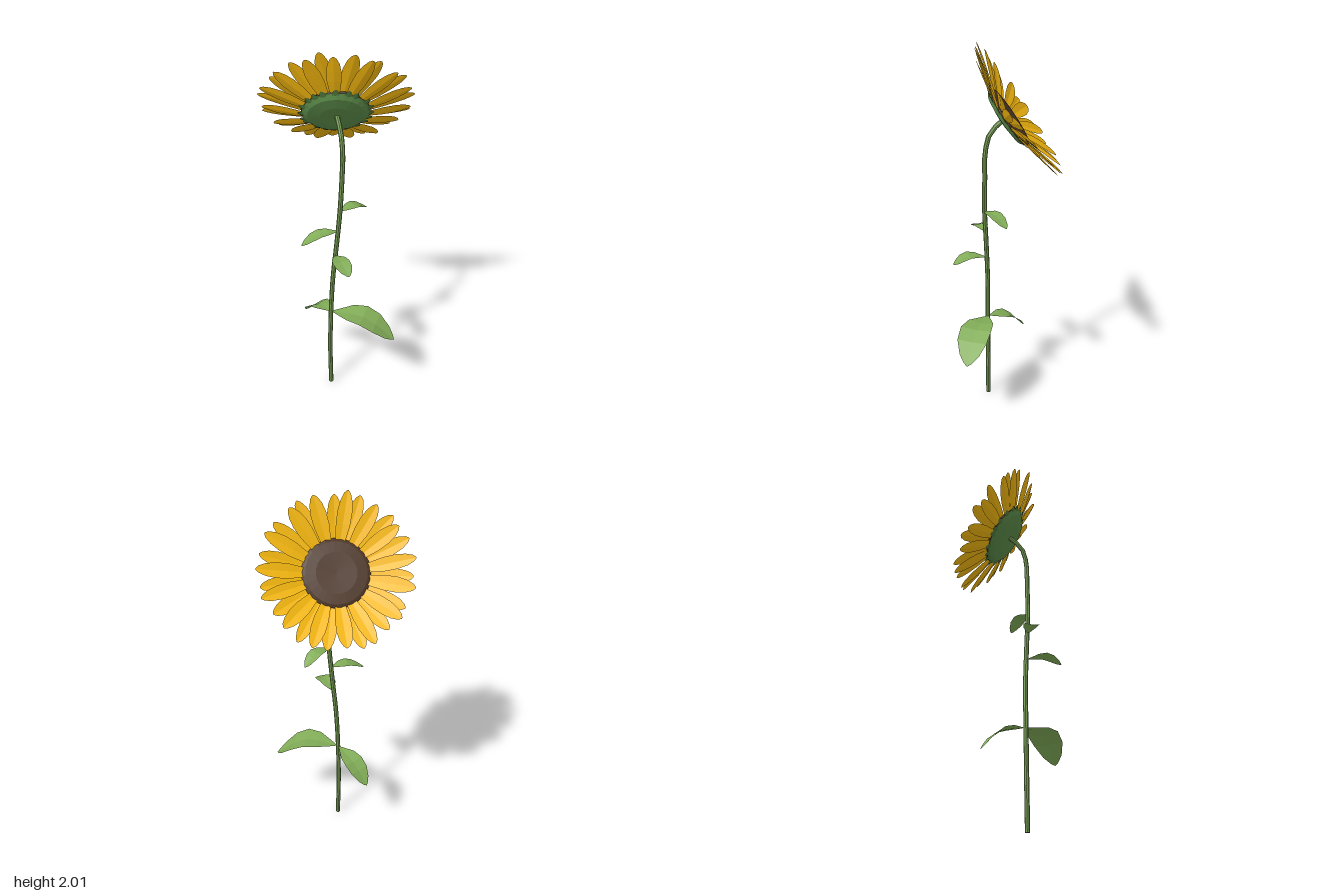
import * as THREE from 'three';

const mat = (color, side = THREE.FrontSide) =>
  new THREE.MeshStandardMaterial({ color, side, flatShading: true });
const V = (x, y, z) => new THREE.Vector3(x, y, z);

// Thin blade: a curved midrib with a folded half on each side.
// outline = [t along the midrib, share of the half width]
function bladeGeometry(points, side, halfWidth, outline, fold) {
  const curve = new THREE.CatmullRomCurve3(points);
  const pos = [], index = [];
  outline.forEach(([t, w], i) => {
    const p = curve.getPoint(t);
    const up = side.clone().cross(curve.getTangent(t)).normalize();
    for (const s of [-1, 0, 1]) {
      const q = p.clone().addScaledVector(side, s * w * halfWidth);
      q.addScaledVector(up, Math.abs(s) * w * halfWidth * fold);
      pos.push(q.x, q.y, q.z);
    }
    if (i === 0) return;
    for (const c of [0, 1]) {
      const a = (i - 1) * 3 + c, b = a + 3;
      index.push(a, a + 1, b + 1, a, b + 1, b);
    }
  });
  const g = new THREE.BufferGeometry();
  g.setAttribute('position', new THREE.Float32BufferAttribute(pos, 3));
  g.setIndex(index);
  g.computeVertexNormals();
  return g;
}

const LEAF = [[0, 0.06], [0.12, 0.4], [0.28, 0.82], [0.48, 1], [0.68, 0.95], [0.86, 0.62], [0.96, 0.25], [1, 0]];
const PETAL = [[0, 0.5], [0.2, 0.75], [0.42, 0.97], [0.65, 1], [0.83, 0.8], [0.95, 0.45], [1, 0.1]];

// Small seeded generator for the irregular petals
function seeded(seed) {
  return () => (seed = (seed * 16807) % 2147483647) / 2147483647;
}

export function createModel() {
  const root = new THREE.Group();
  root.name = 'flower';
  const add = (parent, name, geometry, material) => {
    const m = new THREE.Mesh(geometry, material);
    m.name = name;
    parent.add(m);
    return m;
  };
  const stemMat = mat(0x769c52);
  const leafMat = mat(0x82ad58, THREE.DoubleSide);
  const petalMat = mat(0xf6b90f, THREE.DoubleSide);
  const sepalMat = mat(0x4f7a3c, THREE.DoubleSide);

  // Stem, bending over into the back of the flower head
  const stemPath = new THREE.CatmullRomCurve3([
    V(-0.03, 0, 0.097), V(-0.034, 0.25, 0.096), V(-0.03, 0.5, 0.095), V(-0.018, 0.75, 0.094),
    V(0.002, 0.97, 0.1), V(0.018, 1.17, 0.107), V(0.027, 1.35, 0.104), V(0.03, 1.49, 0.1),
    V(0.022, 1.58, 0.075), V(0.004, 1.645, 0.008),
  ]);
  add(root, 'stem', new THREE.TubeGeometry(stemPath, 30, 0.0125, 8), stemMat);
  const base = add(root, 'stemBase', new THREE.CircleGeometry(0.0125, 8).rotateX(Math.PI / 2), stemMat);
  base.position.set(-0.03, 0.0005, 0.097);

  // Leaves: base, middle and tip of the midrib, half width
  const leaves = [
    ['lowerLeftLeaf', [-0.02, 0.515, 0.095], [0.15, 0.525, 0.165], [0.31, 0.41, 0.215], 0.085],
    ['lowerRightLeaf', [-0.035, 0.51, 0.085], [-0.1, 0.475, -0.025], [-0.16, 0.37, -0.11], 0.06],
    ['middleFrontLeaf', [-0.005, 0.89, 0.1], [0.022, 0.91, 0.195], [0.06, 0.878, 0.275], 0.045],
    ['middleRightLeaf', [0.008, 1.045, 0.105], [-0.09, 1.045, 0.133], [-0.18, 0.995, 0.16], 0.04],
    ['upperLeftLeaf', [0.02, 1.165, 0.107], [0.095, 1.172, 0.055], [0.16, 1.125, 0], 0.038],
  ];
  for (const [name, a, b, c, halfWidth] of leaves) {
    const pts = [V(...a), V(...b), V(...c)];
    const along = pts[2].clone().sub(pts[0]).setY(0).normalize();
    const side = V(-along.z, 0, along.x);
    add(root, name, bladeGeometry(pts, side, halfWidth, LEAF, 0.12), leafMat);
  }

  // Flower head: local +z is the way the bloom faces, up and to the back
  const head = new THREE.Group();
  head.name = 'flowerHead';
  head.position.set(0, 1.65, -0.01);
  head.rotation.x = -2.535;
  root.add(head);

  const lathe = (pts) =>
    new THREE.LatheGeometry(pts.map(([r, y]) => new THREE.Vector2(r, y)), 24).rotateX(Math.PI / 2);
  add(head, 'receptacle', lathe([[0, -0.026], [0.08, -0.026], [0.14, -0.016], [0.166, 0.004]]), mat(0x5b8b49));
  add(head, 'seedDisc', lathe([[0.166, 0.004], [0.168, 0.014], [0.15, 0.024], [0.1, 0.028], [0, 0.024]]), mat(0x4f3829));

  // Cupped petals in two alternating layers
  const rand = seeded(41);
  const ring = (name, count, material, make) => {
    const group = new THREE.Group();
    group.name = name;
    head.add(group);
    for (let i = 0; i < count; i++) {
      const m = add(group, name.slice(0, -1), make(i), material);
      m.rotation.z = ((i + (rand() - 0.5) * 0.5) / count) * Math.PI * 2;
    }
  };
  ring('petals', 30, petalMat, (i) => {
    const reach = 0.362 + rand() * 0.022;
    const rise = (i % 2 ? 0.062 : 0.078) + (rand() - 0.5) * 0.012;
    const low = i % 2 ? -0.003 : 0.005;
    const pts = [V(0, 0.13, low), V(0, 0.25, low + rise * 0.48), V(0, reach, rise)];
    return bladeGeometry(pts, V(1, 0, 0), 0.034 + rand() * 0.005, PETAL, 0.15);
  });
  // Small sepals peeping out between the petals
  ring('sepals', 20, sepalMat, () =>
    bladeGeometry([V(0, 0.13, -0.014), V(0, 0.16, -0.002), V(0, 0.188, 0.008)], V(1, 0, 0), 0.017, LEAF, 0.1));

  return root;
}
